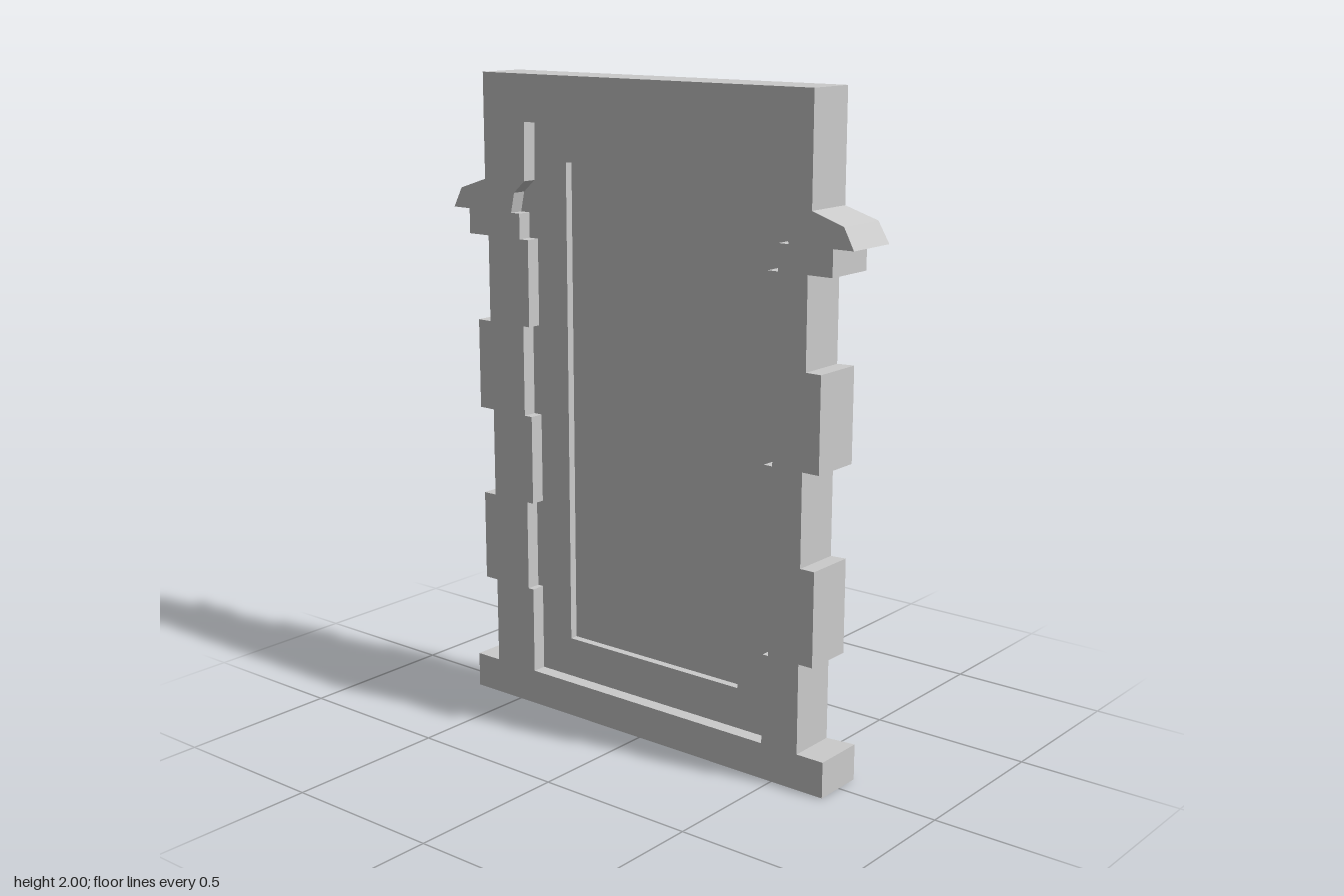
import * as THREE from 'three';

const FRONT = 0.086, RECESS = 0.041, PANEL = 0.016;

// Right half of the outer silhouette, bottom to top: [x, y, z of the open back edge]
const OUTER = [
  [0.682, 0, -0.079], [0.682, 0.11, -0.079], [0.592, 0.11, -0.067], [0.592, 0.385, -0.067],
  [0.639, 0.385, -0.073], [0.639, 0.67, -0.073], [0.592, 0.67, -0.067], [0.592, 0.95, -0.067],
  [0.648, 0.95, -0.077], [0.648, 1.233, -0.077], [0.598, 1.233, -0.067], [0.598, 1.502, -0.067],
  [0.678, 1.502, -0.079], [0.678, 1.58, -0.079], [0.744, 1.58, -0.087], [0.711, 1.642, -0.081],
  [0.608, 1.676, -0.073], [0.608, 2, -0.073],
];
// Right half of the stepped recess
const INNER = [
  [0.45, 0.11], [0.45, 0.385], [0.47, 0.385], [0.47, 0.67], [0.445, 0.67], [0.445, 0.95],
  [0.474, 0.95], [0.474, 1.233], [0.449, 1.233], [0.449, 1.502], [0.483, 1.502], [0.483, 1.58],
  [0.517, 1.58], [0.503, 1.642], [0.46, 1.68], [0.456, 1.858],
];
const DOOR = [[0.329, 0.236], [0.329, 1.742]];

// Mirror a half outline into a counter-clockwise loop centred on x = cx
const mirrorLoop = (half, cx) => [
  ...half.map(([x, y, z]) => [cx + x, y, z]),
  ...half.map(([x, y, z]) => [cx - x, y, z]).reverse(),
];

const material = new THREE.MeshStandardMaterial({
  color: 0xcccccc, flatShading: true, side: THREE.DoubleSide,
});

function addMesh(group, name, geometry) {
  const mesh = new THREE.Mesh(geometry, material);
  mesh.name = name;
  group.add(mesh);
}

// Flat face at depth z, optionally with a hole
function face(loop, z, hole) {
  const points = (l) => l.map(([x, y]) => new THREE.Vector2(x, y));
  const shape = new THREE.Shape(points(loop));
  if (hole) shape.holes.push(new THREE.Path(points(hole)));
  return new THREE.ShapeGeometry(shape).translate(0, 0, z);
}

// Wall running from depth z along the loop back to each point's own depth, or to zBack
function wall(loop, z, zBack) {
  const pos = [];
  loop.forEach(([ax, ay, az], i) => {
    const [bx, by, bz] = loop[(i + 1) % loop.length];
    const a = [ax, ay, z], b = [bx, by, z];
    const a2 = [ax, ay, zBack ?? az], b2 = [bx, by, zBack ?? bz];
    pos.push(...a, ...a2, ...b2, ...a, ...b2, ...b);
  });
  const geometry = new THREE.BufferGeometry();
  geometry.setAttribute('position', new THREE.Float32BufferAttribute(pos, 3));
  geometry.computeVertexNormals();
  return geometry;
}

export function createModel() {
  const group = new THREE.Group();
  group.name = 'doorway';
  const outer = mirrorLoop(OUTER, -0.003);
  const inner = mirrorLoop(INNER, 0.0135);
  const door = mirrorLoop(DOOR, 0.012);

  // Surround, hollow and open at the back
  addMesh(group, 'surroundFront', face(outer, FRONT, inner));
  addMesh(group, 'surroundSides', wall(outer, FRONT));
  // Stepped recess
  addMesh(group, 'recessSides', wall([...inner].reverse(), FRONT, RECESS));
  addMesh(group, 'recessFace', face(inner, RECESS, door));
  // Sunken door panel
  addMesh(group, 'panelSides', wall([...door].reverse(), RECESS, PANEL));
  addMesh(group, 'doorPanel', face(door, PANEL));
  return group;
}
